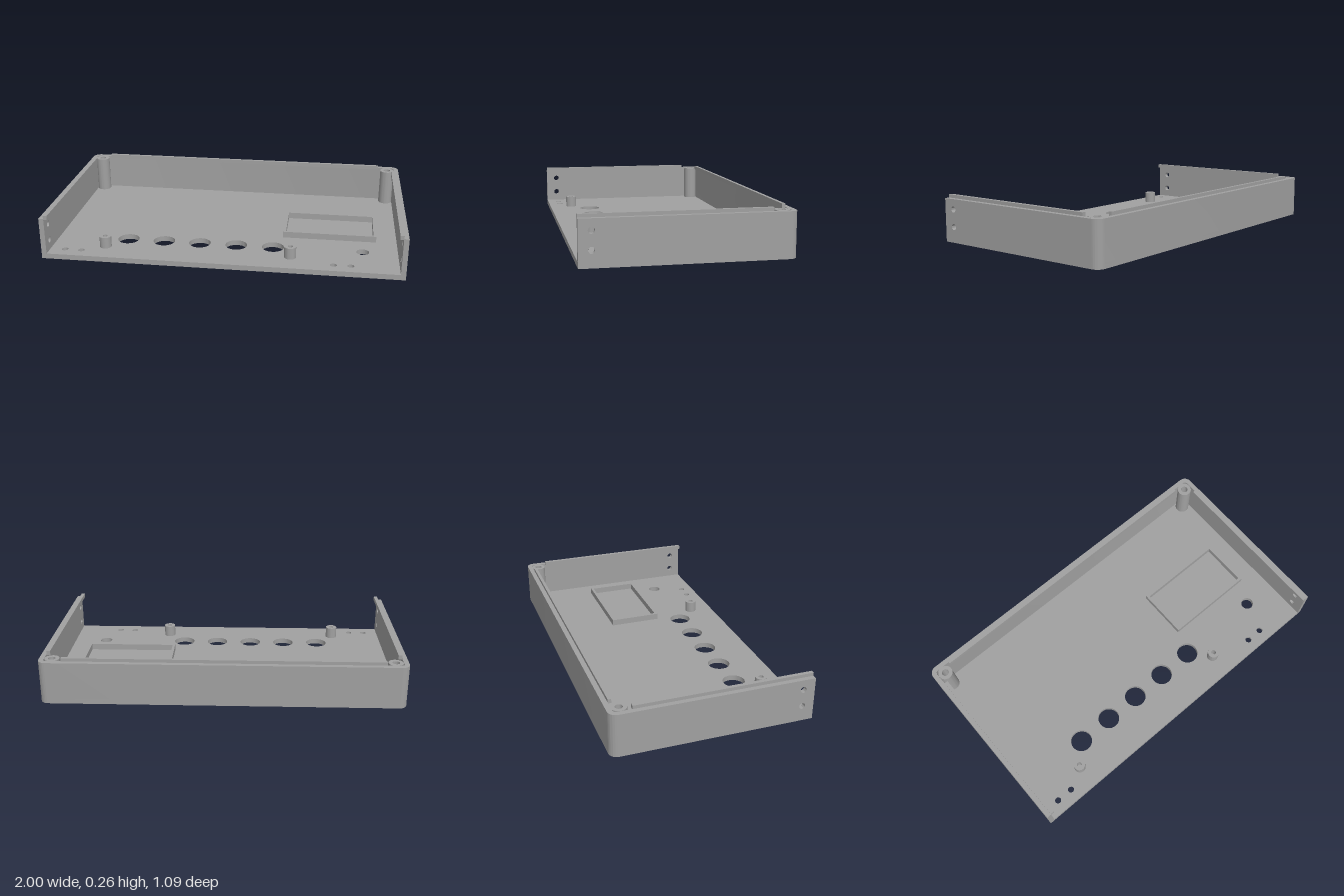
import * as THREE from 'three';
import { toCreasedNormals } from 'three/addons/utils/BufferGeometryUtils.js';

const D = 0.547;      // half depth
const T = 0.028;      // wall thickness
const FLOOR = 0.03;   // floor thickness
const RIM = 0.24;     // wall height
const R = 0.045;      // rear corner radius

const circle = (x, y, r) => new THREE.Path().absarc(x, y, r, 0, Math.PI * 2, true);

// Plan shapes use (x, -z)
function rect(x0, z0, x1, z1, Kind = THREE.Shape) {
  return new Kind([[x0, -z1], [x1, -z1], [x1, -z0], [x0, -z0]].map(p => new THREE.Vector2(...p)));
}

function disc(x, z, r) {
  const s = new THREE.Shape();
  s.absarc(x, -z, r, 0, Math.PI * 2, false);
  return s;
}

const extrude = (shape, depth) =>
  new THREE.ExtrudeGeometry(shape, { depth, bevelEnabled: false, curveSegments: 20 });

// Extrude a plan shape upward from y0 to y1
const rise = (shape, y0, y1) =>
  toCreasedNormals(extrude(shape, y1 - y0).rotateX(-Math.PI / 2).translate(0, y0, 0), 0.6);

// Plate outline with two rounded rear corners
function floorShape() {
  const s = new THREE.Shape();
  s.moveTo(-1, -D);
  s.lineTo(1, -D);
  s.lineTo(1, D - R);
  s.absarc(1 - R, D - R, R, 0, Math.PI / 2, false);
  s.lineTo(-1 + R, D);
  s.absarc(-1 + R, D - R, R, Math.PI / 2, Math.PI, false);
  s.closePath();
  return s;
}

// Rear wall plan with rounded corners
function backShape() {
  const s = new THREE.Shape(), z = D - R;
  s.moveTo(1 - T, z);
  s.lineTo(1, z);
  s.absarc(1 - R, z, R, 0, Math.PI / 2, false);
  s.lineTo(-1 + R, D);
  s.absarc(-1 + R, z, R, Math.PI / 2, Math.PI, false);
  s.lineTo(-1 + T, z);
  s.absarc(-1 + R, z, R - T, Math.PI, Math.PI / 2, true);
  s.lineTo(1 - R, D - T);
  s.absarc(1 - R, z, R - T, Math.PI / 2, 0, true);
  return s;
}

export function createModel() {
  const group = new THREE.Group();
  const grey = new THREE.MeshStandardMaterial({ color: 0xa0a0a0 });
  const add = (name, geo) => {
    const m = new THREE.Mesh(geo, grey);
    m.name = name;
    group.add(m);
  };

  // Floor in two layers, so the screw holes are wider underneath
  const buttons = [-0.565, -0.355, -0.147, 0.063, 0.273].map(x => [x, 0.297, 0.062]);
  buttons.push([0.777, 0.297, 0.036]);
  const screws = [-0.888, -0.793, 0.617, 0.711].map(x => [x, 0.477]);
  const corners = [[-0.93, -0.48], [0.93, -0.48]];
  const layer = (rScrew, rCorner) => {
    const s = floorShape();
    const holes = [...buttons, ...screws.map(p => [...p, rScrew]), ...corners.map(p => [...p, rCorner])];
    holes.forEach(([x, z, r]) => s.holes.push(circle(x, -z, r)));
    return s;
  };
  add('floorUnderside', rise(layer(0.03, 0.03), 0, 0.014));
  add('floorTop', rise(layer(0.018, 0.02), 0.014, FLOOR));

  // Walls
  add('backWall', rise(backShape(), FLOOR, RIM));
  for (const side of [-1, 1]) {
    const label = side > 0 ? 'left' : 'right';
    const s = new THREE.Shape();
    s.moveTo(-D + R, FLOOR);
    s.lineTo(D, FLOOR);
    s.lineTo(D, RIM);
    s.lineTo(-D + R, RIM);
    s.closePath();
    for (const y of [0.087, 0.183]) s.holes.push(circle(0.482, y, 0.017));
    const g = extrude(s, T).rotateY(-Math.PI / 2).translate(side > 0 ? 1 : -1 + T, 0, 0);
    add(label + 'Wall', toCreasedNormals(g, 0.6));

    // Locating lip along the inside of the rim
    const a = side * 0.952, b = side * 0.973;
    add(label + 'Lip', rise(rect(Math.min(a, b), -0.424, Math.max(a, b), D), 0.235, 0.258));
  }
  add('backLip', rise(rect(-0.88, -0.52, 0.873, -0.502), 0.235, 0.258));

  // Hollow screw posts in the rear corners
  for (const [x, z] of corners) {
    const s = disc(x, z, 0.041);
    s.holes.push(circle(x, -z, 0.02));
    add('cornerPost', rise(s, FLOOR, RIM));
  }

  // Short board standoffs
  for (const x of [-0.67, 0.377]) {
    const s = disc(x, 0.41, 0.033);
    s.holes.push(circle(x, -0.41, 0.014));
    add('standoff', rise(s, FLOOR, 0.095));
  }

  // Raised display frame
  const frame = rect(0.32, -0.14, 0.855, 0.16);
  frame.holes.push(rect(0.336, -0.124, 0.839, 0.144, THREE.Path));
  add('displayFrame', rise(frame, FLOOR, 0.066));

  return group;
}
